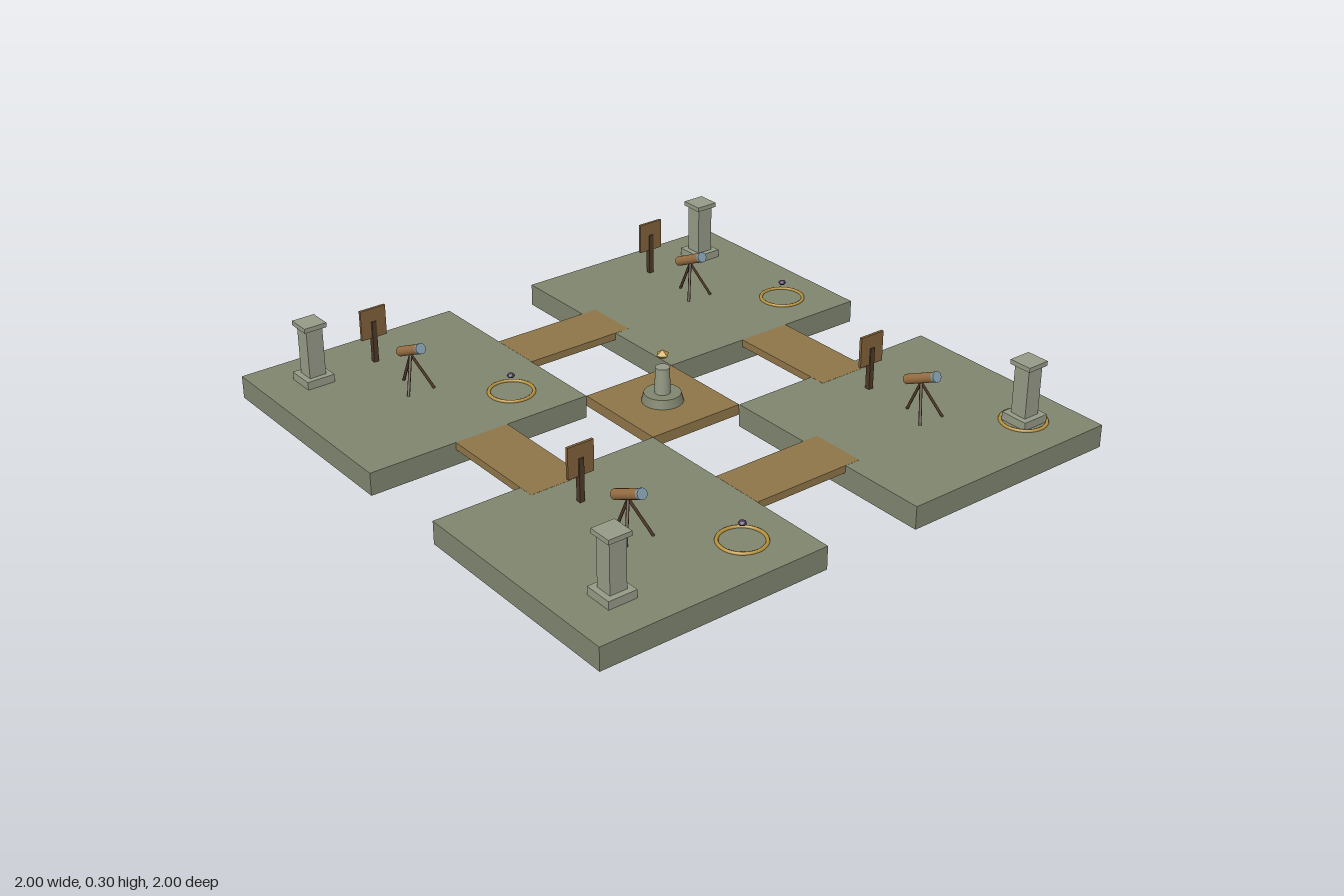
import * as THREE from 'three';

const mat = (color, flatShading = false) => new THREE.MeshStandardMaterial({ color, flatShading });
const stone = mat(0x80856f), paleStone = mat(0x959a86), wood = mat(0x8f7548), darkWood = mat(0x4d3a28);
const brass = mat(0x9a7044), gold = mat(0xc09a3c, true), ringGold = mat(0xb8923c);
const glass = mat(0x7f9aa8), violet = mat(0x4c3a5c, true), boardWood = mat(0x80603a);

const TOP = 0.08, SPREAD = 0.589;

function add(parent, name, geometry, material, x = 0, y = 0, z = 0) {
  const mesh = new THREE.Mesh(geometry, material);
  mesh.name = name;
  mesh.position.set(x, y, z);
  parent.add(mesh);
  return mesh;
}
function group(parent, name, x = 0, y = 0, z = 0) {
  const g = new THREE.Group();
  g.name = name;
  g.position.set(x, y, z);
  parent.add(g);
  return g;
}
const box = (w, h, d) => new THREE.BoxGeometry(w, h, d);

// Thin rod running between two points
function rod(parent, name, from, to, radius, material) {
  const a = new THREE.Vector3(...from), b = new THREE.Vector3(...to);
  const dir = b.clone().sub(a);
  const mesh = add(parent, name, new THREE.CylinderGeometry(radius, radius, dir.length(), 8), material);
  mesh.position.copy(a).add(b).multiplyScalar(0.5);
  mesh.quaternion.setFromUnitVectors(new THREE.Vector3(0, 1, 0), dir.normalize());
}

// Tilted tube on three legs, looking up towards +z
function telescope(parent, x, z) {
  const g = group(parent, 'telescope', x, TOP, z);
  for (const foot of [[-0.05, 0, 0.055], [0.05, 0, 0.055], [0, 0, -0.055]]) {
    rod(g, 'tripodLeg', [0, 0.118, 0], foot, 0.005, darkWood);
  }
  const tube = group(g, 'telescopeTube', 0, 0.133, 0);
  tube.rotation.x = Math.PI / 2 - THREE.MathUtils.degToRad(25);
  add(tube, 'barrel', new THREE.CylinderGeometry(0.017, 0.017, 0.14, 16), brass);
  add(tube, 'lens', new THREE.CylinderGeometry(0.018, 0.018, 0.012, 16), glass, 0, 0.069, 0);
}

// Board on a post with a pale panel on its back
function signBoard(parent, x, z) {
  const g = group(parent, 'signBoard', x, TOP, z);
  add(g, 'signPost', box(0.018, 0.15, 0.018), darkWood, 0, 0.075, 0);
  add(g, 'board', box(0.096, 0.108, 0.01), boardWood, 0, 0.144, 0);
  add(g, 'panel', box(0.08, 0.092, 0.003), glass, 0, 0.144, -0.006);
}

function pillar(parent, x, z) {
  const g = group(parent, 'pillar', x, TOP, z);
  add(g, 'pillarBase', box(0.1, 0.028, 0.1), paleStone, 0, 0.014, 0);
  add(g, 'pillarShaft', box(0.06, 0.175, 0.06), paleStone, 0, 0.115, 0);
  add(g, 'pillarCap', box(0.082, 0.016, 0.082), paleStone, 0, 0.209, 0);
}

// Ring on the floor with a small gem floating over it
function ringMarker(parent, x, z) {
  const g = group(parent, 'ringMarker', x, TOP, z);
  const ring = add(g, 'floorRing', new THREE.TorusGeometry(0.075, 0.006, 8, 40), ringGold, 0, 0.002, 0);
  ring.rotation.x = Math.PI / 2;
  add(g, 'floatingGem', new THREE.OctahedronGeometry(0.014, 1), violet, 0, 0.06, 0).scale.y = 0.65;
}

export function createModel() {
  const model = new THREE.Group();
  model.name = 'courtyard';

  // Four corner platforms and what stands on them
  for (const sx of [-1, 1]) {
    for (const sz of [-1, 1]) {
      const x = sx * SPREAD, z = sz * SPREAD;
      const corner = group(model, 'corner', x, 0, z);
      add(corner, 'platform', box(0.822, TOP, 0.822), stone, 0, TOP / 2, 0);
      telescope(corner, 0, 0);
      signBoard(corner, 0, -0.235);
      ringMarker(corner, 0.235, 0.235);
      pillar(corner, sx * 0.236, sz * 0.236);
    }
  }

  // Bridges between neighbouring platforms
  for (const s of [-1, 1]) {
    add(model, 'bridge', box(0.413, 0.026, 0.196), wood, 0.0285, 0.0675, s * SPREAD);
    add(model, 'bridge', box(0.196, 0.026, 0.413), wood, s * SPREAD, 0.0675, 0.0285);
  }

  // Middle deck with pedestal and crystal
  const centre = group(model, 'centre');
  add(centre, 'deck', box(0.355, 0.037, 0.355), wood, 0, 0.0615, 0);
  add(centre, 'pedestalBase', new THREE.CylinderGeometry(0.062, 0.07, 0.03, 24), stone, 0, 0.096, 0);
  add(centre, 'pedestalColumn', new THREE.CylinderGeometry(0.024, 0.027, 0.092, 24), paleStone, 0, 0.156, 0);
  add(centre, 'crystal', new THREE.OctahedronGeometry(0.025), gold, 0, 0.247, 0).scale.y = 0.7;
  return model;
}
